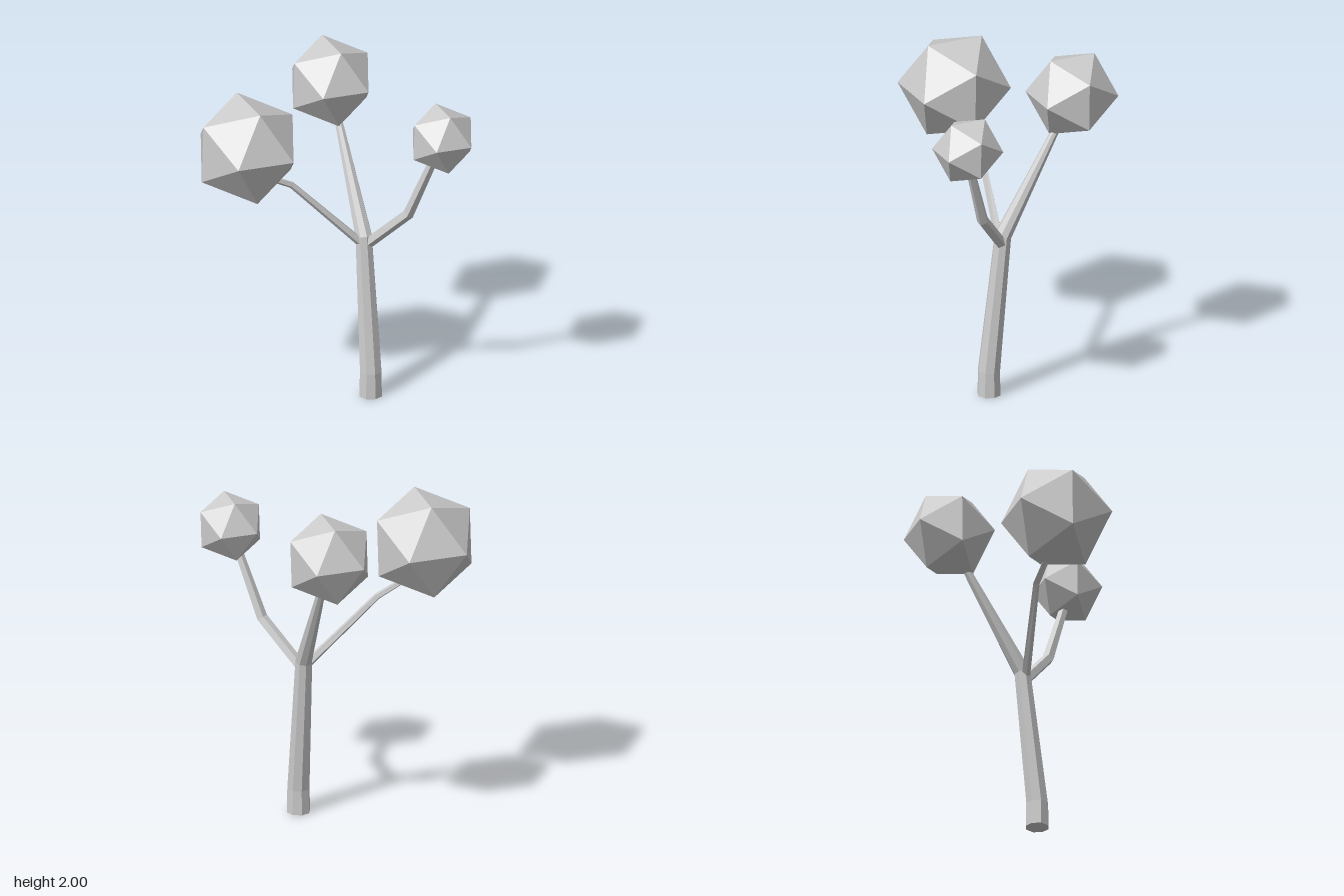
import * as THREE from 'three';

const material = new THREE.MeshStandardMaterial({ color: 0xcccccc, flatShading: true });

// Faceted, tapering limb through stations [x, y, z, radius], capped at both ends.
function limb(name, stations, sides, ref, phase = 0) {
  const pts = stations.map(([x, y, z]) => new THREE.Vector3(x, y, z));
  const last = pts.length - 1;
  const positions = [], index = [];
  pts.forEach((p, i) => {
    const t = new THREE.Vector3();
    if (i > 0) t.add(p.clone().sub(pts[i - 1]).normalize());
    if (i < last) t.add(pts[i + 1].clone().sub(p).normalize());
    t.normalize();
    const u = ref.clone().addScaledVector(t, -ref.dot(t)).normalize();
    const v = t.clone().cross(u);
    for (let j = 0; j < sides; j++) {
      const a = phase + (j / sides) * Math.PI * 2;
      const q = p.clone()
        .addScaledVector(u, Math.cos(a) * stations[i][3])
        .addScaledVector(v, Math.sin(a) * stations[i][3]);
      positions.push(q.x, q.y, q.z);
    }
  });
  for (let i = 0; i < last; i++) {
    for (let j = 0; j < sides; j++) {
      const k = (j + 1) % sides;
      const a = i * sides + j, b = i * sides + k;
      index.push(a, b, b + sides, a, b + sides, a + sides);
    }
  }
  const top = last * sides;
  for (let j = 1; j < sides - 1; j++) {
    index.push(0, j + 1, j, top, top + j, top + j + 1);
  }
  const geometry = new THREE.BufferGeometry();
  geometry.setAttribute('position', new THREE.Float32BufferAttribute(positions, 3));
  geometry.setIndex(index);
  const flat = geometry.toNonIndexed();
  flat.computeVertexNormals();
  const mesh = new THREE.Mesh(flat, material);
  mesh.name = name;
  return mesh;
}

// Twenty-sided foliage ball, all balls share the same slight tilt.
function foliage(name, radius, x, y, z) {
  const mesh = new THREE.Mesh(new THREE.IcosahedronGeometry(radius, 0), material);
  mesh.position.set(x, y, z);
  mesh.rotation.z = THREE.MathUtils.degToRad(90 - 1.72);
  mesh.name = name;
  return mesh;
}

export function createModel() {
  const group = new THREE.Group();
  group.name = 'tree';
  const X = new THREE.Vector3(1, 0, 0);
  const Y = new THREE.Vector3(0, 1, 0);

  // Leaning trunk that carries on as the rear branch
  group.add(limb('trunk', [
    [0.248, 0, 0.15, 0.07],
    [0.248, 0.15, 0.15, 0.067],
    [0.243, 0.97, 0.058, 0.051],
    [0.23, 1.62, -0.32, 0.021],
  ], 8, X));

  // Side branches
  group.add(limb('rightBranch', [
    [0.22, 0.94, 0.07, 0.026],
    [-0.18, 1.345, -0.005, 0.02],
    [-0.35, 1.43, 0.0, 0.018],
  ], 5, Y, Math.PI / 5));
  group.add(limb('leftBranch', [
    [0.265, 0.94, 0.085, 0.034],
    [0.43, 1.175, 0.28, 0.034],
    [0.54, 1.58, 0.42, 0.025],
  ], 5, Y, Math.PI / 5));

  // Foliage balls
  group.add(foliage('rightFoliage', 0.329, -0.471, 1.64, 0.018));
  group.add(foliage('rearFoliage', 0.27, 0.226, 1.77, -0.395));
  group.add(foliage('leftFoliage', 0.207, 0.57, 1.697, 0.447));

  return group;
}
